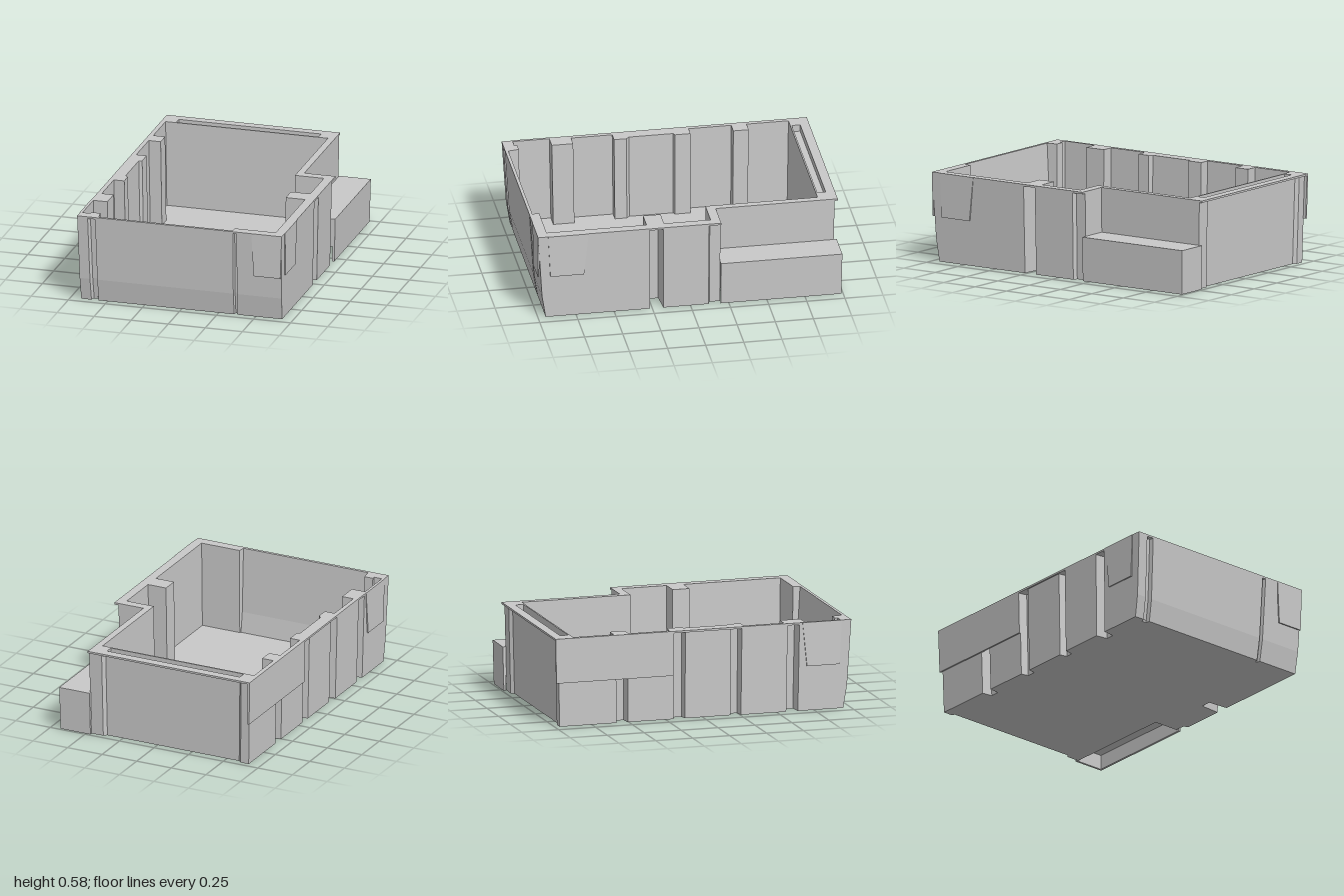
import * as THREE from 'three';

const H = 0.585;

// Outer wall outline as [x, z]; folds in around each rib
const outer = [
  [-0.68, -0.98], [-0.62, -0.98], [-0.6, -0.96], [0.37, -0.96], [0.39, -0.98], [0.48, -0.98],
  [0.48, -0.2], [0.66, -0.2], [0.66, -0.13], [0.69, -0.12], [0.69, 0.18], [0.55, 0.19], [0.55, 0.26], [0.69, 0.27],
  [0.69, 1], [0.385, 1], [0.38, 0.975], [0.365, 0.975], [0.36, 1], [-0.57, 1], [-0.575, 0.97],
  [-0.61, 0.97], [-0.62, 1], [-0.69, 1],
  [-0.69, 0.65], [-0.61, 0.64], [-0.61, 0.58], [-0.69, 0.57], [-0.69, 0.26], [-0.63, 0.25],
  [-0.63, 0.2], [-0.68, 0.19], [-0.68, -0.12], [-0.63, -0.13], [-0.63, -0.19], [-0.68, -0.2],
  [-0.68, -0.51], [-0.61, -0.52], [-0.61, -0.58], [-0.68, -0.59],
];

// Rim outline, which closes the folds from above
const rimOutline = [
  [-0.69, -1], [0.48, -1], [0.48, -0.2], [0.69, -0.2], [0.69, 1], [-0.69, 1],
];

// Inner wall outline
const inner = [
  [-0.66, -0.875], [0.435, -0.875], [0.435, -0.14], [0.63, -0.14], [0.63, 0.165], [0.5, 0.165],
  [0.5, 0.28], [0.63, 0.28], [0.63, 0.935], [0.355, 0.935], [0.35, 0.98], [-0.55, 0.98],
  [-0.56, 0.91], [-0.62, 0.91], [-0.62, 0.93], [-0.675, 0.93], [-0.675, 0.69],
  [-0.58, 0.69], [-0.58, 0.55], [-0.66, 0.55], [-0.66, 0.28], [-0.59, 0.28], [-0.59, 0.2],
  [-0.61, 0.18], [-0.61, -0.11], [-0.59, -0.12], [-0.59, -0.22], [-0.66, -0.22],
  [-0.66, -0.5], [-0.58, -0.5], [-0.58, -0.6], [-0.66, -0.6],
];

const rect = (x0, x1, z0, z1) => [[x0, z0], [x1, z0], [x1, z1], [x0, z1]];
const toPoints = (list) => list.map(([x, z]) => new THREE.Vector2(x, -z));

// Walls lean outward; the front leans most
function draft(geo) {
  const p = geo.attributes.position;
  for (let i = 0; i < p.count; i++) {
    const y = p.getY(i), z = p.getZ(i), t = 1 - y / H;
    p.setX(i, p.getX(i) * (1 - 0.018 * t));
    const foot = Math.max(0, 1 - y / 0.15);
    p.setZ(i, z * (z > 0.94 ? 1 - 0.036 * t - 0.015 * foot : 1 - 0.012 * t));
  }
  geo.computeVertexNormals();
  return geo;
}

// Upright slab between two heights, with optional openings
function slab(outline, holes, y0, y1) {
  const shape = new THREE.Shape(toPoints(outline));
  shape.holes = holes.map((h) => new THREE.Path(toPoints(h).reverse()));
  const geo = new THREE.ExtrudeGeometry(shape, { depth: y1 - y0, bevelEnabled: false });
  geo.rotateX(-Math.PI / 2);
  geo.translate(0, y0, 0);
  return draft(geo);
}

export function createModel() {
  const group = new THREE.Group();
  const grey = new THREE.MeshStandardMaterial({ color: 0xc8c8c8 });
  grey.name = 'grey plastic';

  const add = (name, geo) => {
    const mesh = new THREE.Mesh(geo, grey);
    mesh.name = name;
    group.add(mesh);
    return mesh;
  };

  // Tray body
  const slot = rect(-0.59, 0.37, -0.94, -0.885);
  add('floor', slab(outer, [], 0, 0.015));
  add('lowerWalls', slab(outer, [inner], 0.015, 0.15));
  add('upperWalls', slab(outer, [inner], 0.15, 0.54));
  add('slotWalls', slab(outer, [inner, slot], 0.54, 0.572));
  add('rim', slab(rimOutline, [inner, slot], 0.572, H));

  // Skirt hanging from the left rim
  add('leftSkirt', slab(rect(-0.69, -0.677, -1, -0.2), [], 0.29, H));

  // Low shelf at the back corner, hollow underneath
  add('shelf', slab(rect(0.475, 0.695, -1, -0.2), [], 0.1, 0.29));
  add('shelfOuterSkirt', slab(rect(0.68, 0.695, -1, -0.2), [], 0, 0.1));
  add('shelfBackSkirt', slab(rect(0.475, 0.695, -1, -0.985), [], 0, 0.1));

  // Tapered finger pads near the front corners
  const pad = (a0, a1, b0, b1) => {
    const shape = new THREE.Shape([
      new THREE.Vector2(a0, 0.295), new THREE.Vector2(a1, 0.295),
      new THREE.Vector2(b1, H), new THREE.Vector2(b0, H),
    ]);
    return new THREE.ExtrudeGeometry(shape, { depth: 0.009, bevelEnabled: false });
  };
  add('frontPad', pad(0.5, 0.68, 0.485, 0.69)).position.z = 0.992;
  for (const [name, x] of [['rightSidePad', -0.693], ['leftSidePad', 0.684]]) {
    const side = add(name, pad(-0.92, -0.7, -0.935, -0.67));
    side.rotation.y = Math.PI / 2;
    side.position.x = x;
  }

  return group;
}
